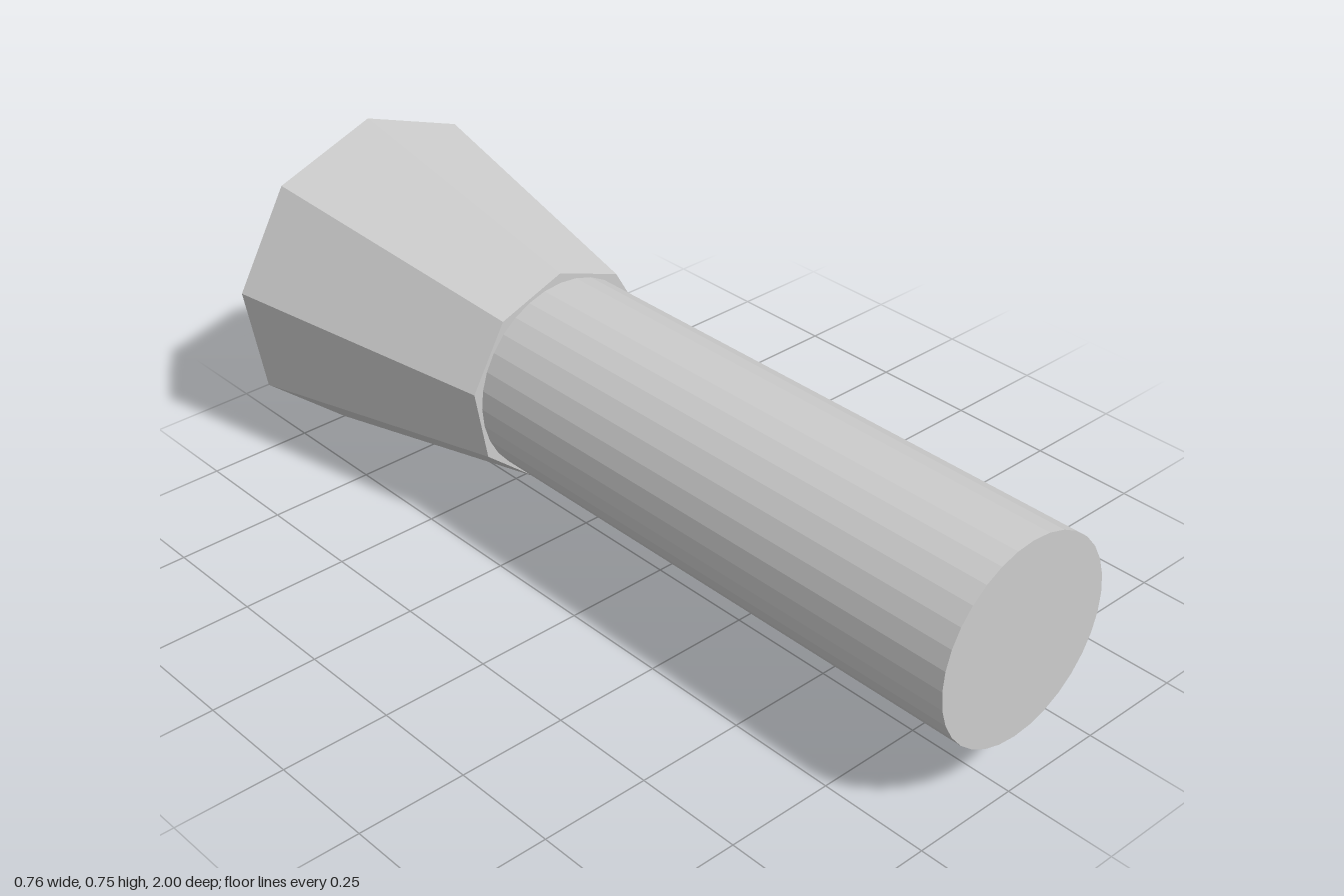
import * as THREE from 'three';

const AXIS_Y = 0.364; // height of the shared centre line

export function createModel() {
  const group = new THREE.Group();
  const material = new THREE.MeshStandardMaterial({ color: 0xcccccc, flatShading: true });

  // Prism or frustum lying along z, from its back end to its front end
  function addSection(name, backRadius, frontRadius, backZ, frontZ, sides) {
    const geometry = new THREE.CylinderGeometry(backRadius, frontRadius, frontZ - backZ, sides);
    geometry.rotateX(-Math.PI / 2);
    const mesh = new THREE.Mesh(geometry, material);
    mesh.name = name;
    mesh.position.set(0, AXIS_Y, (backZ + frontZ) / 2);
    group.add(mesh);
  }

  // Round handle
  addSection('handle', 0.227, 0.227, -0.32, 1, 32);
  // Nine-sided flared head, one corner pointing up
  addSection('flaredHead', 0.387, 0.25, -1, -0.32, 9);

  return group;
}
